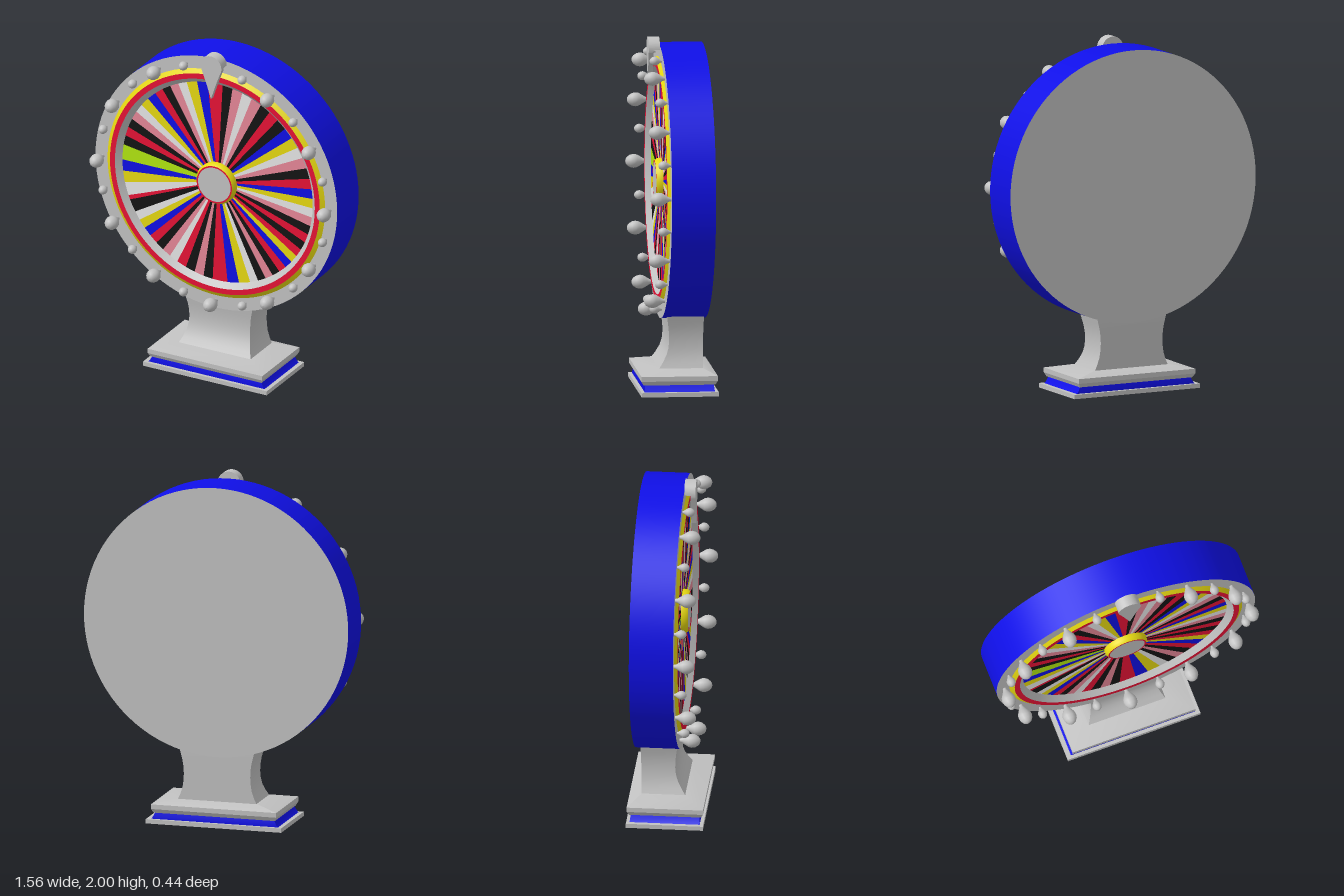
import * as THREE from 'three';
import { mergeGeometries, toCreasedNormals } from 'three/addons/utils/BufferGeometryUtils.js';

const CENTER_Y = 1.18;
const rad = THREE.MathUtils.degToRad;

function material(name, color) {
  const m = new THREE.MeshStandardMaterial({ color });
  m.name = name;
  return m;
}

// Surface of revolution about the z axis; points are [radius, z]
function turned(points, segments = 96) {
  return new THREE.LatheGeometry(points.map(p => new THREE.Vector2(p[0], p[1])), segments).rotateX(Math.PI / 2);
}

// Stack of rectangles, each [y, halfWidth, zFront, zBack]
function loft(sections) {
  const pos = [], idx = [];
  for (const [y, w, f, b] of sections) pos.push(-w, y, f, w, y, f, w, y, b, -w, y, b);
  const last = (sections.length - 1) * 4;
  for (let s = 0; s < last; s += 4) {
    for (let i = 0; i < 4; i++) {
      const a = s + i, c = s + (i + 1) % 4;
      idx.push(a, c, c + 4, a, c + 4, a + 4);
    }
  }
  idx.push(0, 2, 1, 0, 3, 2, last, last + 1, last + 2, last, last + 2, last + 3);
  const g = new THREE.BufferGeometry();
  g.setAttribute('position', new THREE.Float32BufferAttribute(pos, 3));
  g.setIndex(idx);
  return toCreasedNormals(g, 0.4);
}

export function createModel() {
  const model = new THREE.Group();
  model.name = 'prizeWheel';
  const gray = material('silver gray', 0xc2c2c2);
  const blue = material('blue', 0x1212ff);
  const red = material('red', 0xf5143a);
  const yellow = material('yellow', 0xfff014);
  const white = material('white', 0xffffff);
  const pink = material('pink', 0xff96a8);
  const black = material('black', 0x141414);
  const lime = material('lime', 0xc4ff14);

  const add = (parent, name, geometry, mat) => {
    const mesh = new THREE.Mesh(geometry, mat);
    mesh.name = name;
    parent.add(mesh);
    return mesh;
  };

  // Stepped base with a blue band
  const base = new THREE.Group();
  base.name = 'base';
  model.add(base);
  add(base, 'bottomPlate', loft([[0, 0.4, 0.22, -0.217], [0.025, 0.4, 0.22, -0.217]]), gray);
  add(base, 'blueBand', loft([[0.025, 0.375, 0.2, -0.197], [0.035, 0.365, 0.2, -0.197], [0.065, 0.35, 0.195, -0.192]]), blue);
  add(base, 'topSlab', loft([
    [0.062, 0.358, 0.205, -0.202], [0.085, 0.37, 0.218, -0.215],
    [0.112, 0.37, 0.218, -0.215], [0.138, 0.24, 0.108, -0.145],
  ]), gray);

  // Waisted neck
  add(base, 'neck', loft([
    [0.13, 0.235, 0.11, -0.143], [0.17, 0.217, 0.083, -0.144], [0.21, 0.204, 0.061, -0.145],
    [0.25, 0.198, 0.049, -0.146], [0.29, 0.196, 0.045, -0.147], [0.33, 0.198, 0.046, -0.148],
    [0.37, 0.204, 0.05, -0.149], [0.41, 0.214, 0.056, -0.15], [0.45, 0.224, 0.061, -0.15],
  ]), gray);

  const wheel = new THREE.Group();
  wheel.name = 'wheel';
  wheel.position.y = CENTER_Y;
  model.add(wheel);

  // Drum and the trim rings around the face
  add(wheel, 'drumBack', turned([[0, -0.165], [0.78, -0.165]]), gray);
  add(wheel, 'drumSide', turned([[0.78, -0.165], [0.78, 0.085]]), blue);
  add(wheel, 'frontRim', turned([[0.78, 0.085], [0.69, 0.085]]), gray);
  add(wheel, 'yellowTrim', turned([[0.702, 0.085], [0.677, 0.102]]), yellow);
  add(wheel, 'redTrim', turned([[0.677, 0.102], [0.645, 0.102]]), red);
  add(wheel, 'innerBevel', turned([[0.645, 0.102], [0.614, 0.07]]), gray);

  // Face wedges: [start, end, colours], degrees clockwise from the top
  const palette = { R: red, B: blue, Y: yellow, W: white, P: pink, K: black, L: lime };
  const arcs = [
    [-6, 3, 'R'], [3, 45, 'KPWPKRK'], [45, 81, 'BYWPKR'], [81, 97.5, 'BYW'],
    [97.5, 119, 'PKRK'], [119, 160, 'RYBRKPKW'], [160, 174, 'YB'], [174, 183, 'R'],
    [183, 205, 'KPKR'], [205, 240, 'WPKRBYW'], [240, 247, 'K'], [247, 249.5, 'R'], [249.5, 257, 'W'],
    [257, 270, 'YB'], [270, 279, 'L'], [279, 307, 'KRKPW'], [307, 319, 'YB'],
    [319, 341, 'RKPW'], [341, 354, 'YB'],
  ];
  const wedges = {};
  for (const [start, end, colours] of arcs) {
    const step = (end - start) / colours.length;
    [...colours].forEach((c, i) => {
      const to = start + (i + 1) * step;
      (wedges[c] ??= []).push(new THREE.RingGeometry(0.09, 0.615, 3, 1, rad(90 - to), rad(step)));
    });
  }
  for (const c in wedges) {
    add(wheel, `${palette[c].name} wedges`, mergeGeometries(wedges[c]), palette[c]).position.z = 0.07;
  }

  // Hub
  add(wheel, 'hubRing', turned([[0.125, 0.07], [0.125, 0.092], [0.113, 0.109]], 64), yellow);
  add(wheel, 'hubRedRing', turned([[0.114, 0.109], [0.105, 0.109]], 64), red);
  add(wheel, 'hubDisc', turned([[0.106, 0.108], [0, 0.108]], 64), gray);

  // Alternating large and small teardrop bulbs, with the top place left for the pointer
  const bulbGeometry = (r, length) => turned([
    [0.25, 0], [0.32, 0.12], [0.62, 0.28], [0.92, 0.45], [1, 0.6], [0.9, 0.77], [0.6, 0.92], [0.3, 0.98], [0, 1],
  ].map(([x, z]) => [x * r, z * length]), 16);
  const bigBulb = bulbGeometry(0.04, 0.12);
  const smallBulb = bulbGeometry(0.026, 0.072);
  for (let i = 1; i < 24; i++) {
    const a = rad(i * 15);
    const bulb = add(wheel, i % 2 ? 'smallBulb' : 'largeBulb', i % 2 ? smallBulb : bigBulb, gray);
    bulb.position.set(Math.sin(a) * 0.733, Math.cos(a) * 0.733, 0.084);
  }

  // Teardrop pointer and its half-round mount
  const drop = new THREE.Shape();
  drop.absarc(0, 0, 0.067, rad(-15), rad(195), false);
  drop.quadraticCurveTo(-0.035, -0.09, 0, -0.2);
  drop.quadraticCurveTo(0.035, -0.09, 0.067 * Math.cos(rad(15)), -0.067 * Math.sin(rad(15)));
  const mount = new THREE.Shape();
  mount.absarc(0, 0, 0.067, 0, Math.PI, false);
  mount.closePath();
  const extrude = (shape, depth) => new THREE.ExtrudeGeometry(shape, { depth, bevelEnabled: false, curveSegments: 24 });
  add(model, 'pointer', extrude(drop, 0.028), gray).position.set(0, 1.933, 0.12);
  add(model, 'pointerMount', extrude(mount, 0.037), gray).position.set(0, 1.933, 0.084);

  return model;
}
